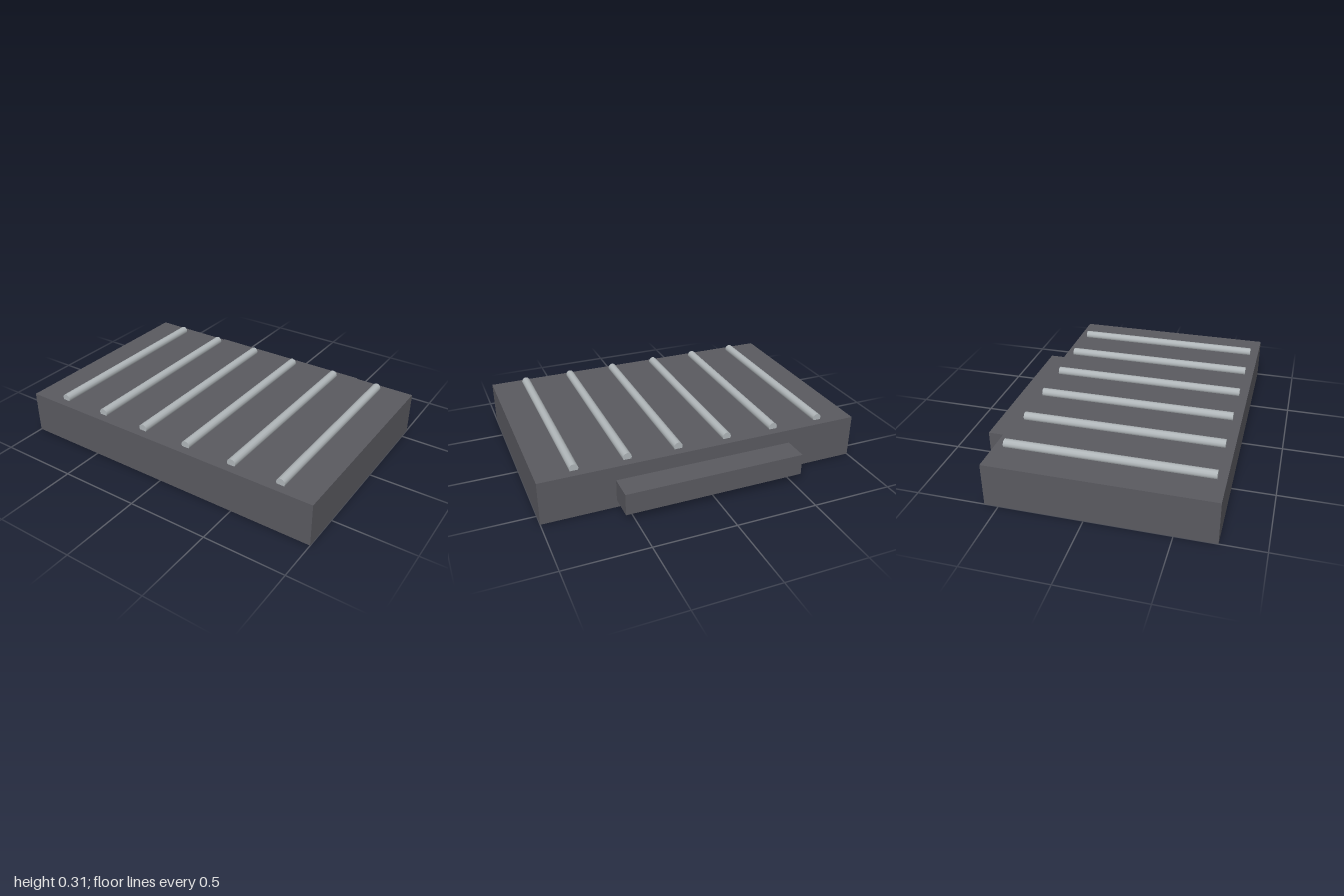
import * as THREE from 'three';

export function createModel() {
  const group = new THREE.Group();
  const darkGrey = new THREE.MeshStandardMaterial({ color: 0x5a5a60 });
  darkGrey.name = 'dark grey';
  const steel = new THREE.MeshStandardMaterial({ color: 0xb0b6b9 });
  steel.name = 'steel';

  const add = (name, geometry, material, x, y, z) => {
    const mesh = new THREE.Mesh(geometry, material);
    mesh.name = name;
    mesh.position.set(x, y, z);
    group.add(mesh);
  };

  // Main slab, resting on the ground
  add('body', new THREE.BoxGeometry(2, 0.267, 1.327), darkGrey, 0, 0.1335, 0.0785);

  // Narrow block on the back face
  add('backBlock', new THREE.BoxGeometry(1.11, 0.133, 0.157), darkGrey, 0, 0.1135, -0.6635);

  // Six round rods, partly sunk into the top
  const rod = new THREE.CylinderGeometry(0.027, 0.027, 1.22, 12).rotateX(Math.PI / 2);
  for (let i = 0; i < 6; i++) {
    add(`rod${i + 1}`, rod, steel, (i - 2.5) * 0.311, 0.28, 0.0785);
  }
  return group;
}
